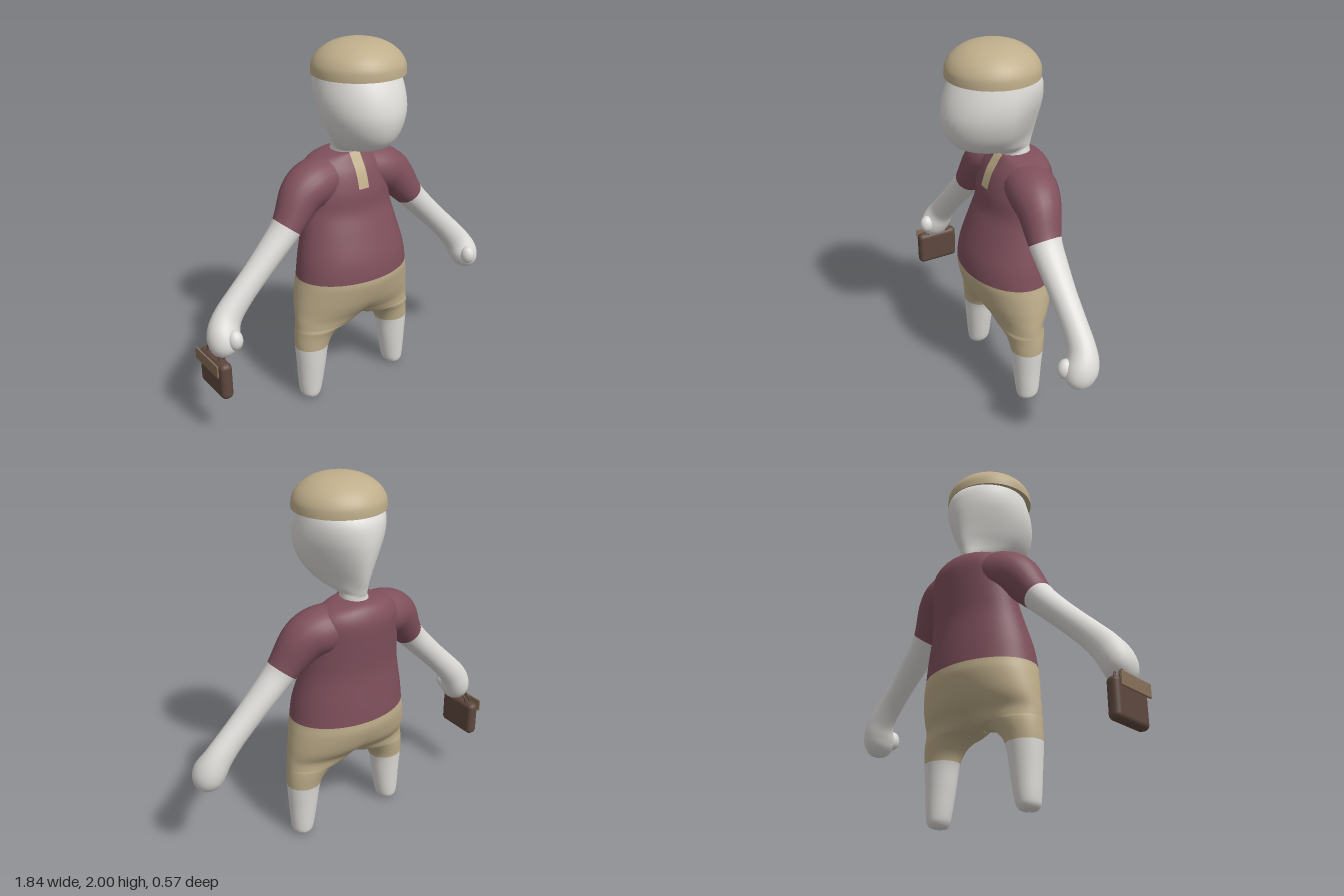
import * as THREE from 'three';
import { mergeVertices } from 'three/addons/utils/BufferGeometryUtils.js';
import { RoundedBoxGeometry } from 'three/addons/geometries/RoundedBoxGeometry.js';

const mat = (name, color, side = THREE.FrontSide) => {
  const m = new THREE.MeshStandardMaterial({ color, side });
  m.name = name;
  return m;
};

// Catmull-Rom sample of a table of rows at fractional row u
function sample(rows, u) {
  const i = Math.min(Math.floor(u), rows.length - 2), t = u - i;
  const at = k => rows[Math.max(0, Math.min(rows.length - 1, k))];
  const [a, b, c, d] = [at(i - 1), at(i), at(i + 1), at(i + 2)];
  return b.map((_, k) => b[k] + 0.5 * t * (c[k] - a[k] +
    t * (2 * a[k] - 5 * b[k] + 4 * c[k] - d[k] + t * (3 * (b[k] - c[k]) + d[k] - a[k]))));
}

// Rings of points along a table, STEP rings per row
const STEP = 4;
function makeRings(rows, ringAt) {
  const rings = [];
  for (let i = 0; i <= (rows.length - 1) * STEP; i++) rings.push(ringAt(i / STEP));
  return rings;
}

// Smooth skin over sheets of rings; materialOf(row) picks the colour
function skinOver(sheets, materials, materialOf = () => 0) {
  const pos = [], lists = materials.map(() => []);
  for (const { rings, mirror } of sheets) {
    const n = rings[0].length, base = pos.length / 3;
    rings.flat().forEach(p => pos.push(mirror ? -p[0] : p[0], p[1], p[2]));
    for (let i = 0; i < rings.length - 1; i++) {
      const list = lists[materialOf(Math.floor(i / STEP))];
      for (let j = 0; j < n - 1; j++) {
        const a = base + i * n + j, b = a + n, c = a + 1, d = b + 1;
        list.push(...(mirror ? [a, c, b, b, c, d] : [a, b, c, b, d, c]));
      }
    }
  }
  let g = new THREE.BufferGeometry();
  g.setAttribute('position', new THREE.Float32BufferAttribute(pos, 3));
  g.setIndex(lists.flat());
  let start = 0;
  lists.forEach((l, k) => { g.addGroup(start, l.length, k); start += l.length; });
  g = mergeVertices(g);
  g.computeVertexNormals();
  return new THREE.Mesh(g, materials);
}

// Half body, sole to collar: y, outer x, inner x, front z, back z
const BODY = [
  [0, 0.30, 0.29, -0.035, -0.045], [0.004, 0.33, 0.262, 0, -0.08], [0.02, 0.35, 0.245, 0.015, -0.1],
  [0.06, 0.36, 0.23, 0.022, -0.11], [0.2, 0.368, 0.205, 0.035, -0.12], [0.33, 0.376, 0.182, 0.045, -0.132],
  [0.4, 0.375, 0.135, 0.055, -0.145], [0.44, 0.373, 0.07, 0.07, -0.155], [0.455, 0.372, 0, 0.075, -0.16],
  [0.5, 0.37, -0.11, 0.09, -0.175], [0.55, 0.365, -0.225, 0.12, -0.22], [0.6, 0.36, -0.3, 0.145, -0.25],
  [0.68, 0.348, -0.348, 0.172, -0.278], [0.74, 0.336, -0.336, 0.18, -0.28], [0.85, 0.32, -0.32, 0.165, -0.275],
  [1.0, 0.285, -0.285, 0.112, -0.265], [1.1, 0.268, -0.268, 0.075, -0.27], [1.2, 0.26, -0.26, 0.065, -0.28],
  [1.3, 0.25, -0.25, 0.035, -0.285], [1.36, 0.21, -0.21, 0, -0.265], [1.39, 0.14, -0.14, -0.02, -0.235],
  [1.4, 0.07, -0.07, -0.03, -0.2],
];
// Full ellipse for a leg, cut off at x = 0 where the halves join
function bodyRing(u) {
  const [y, outer, inner, zf, zb] = sample(BODY, u);
  const cx = Math.max(0, (outer + inner) / 2), rx = outer - cx;
  const tm = cx >= rx ? Math.PI : Math.acos(-cx / rx);
  return Array.from({ length: 33 }, (_, j) => {
    const t = (j / 16 - 1) * tm;
    return [cx + rx * Math.cos(t), y, (zf + zb) / 2 + (zf - zb) / 2 * Math.sin(t)];
  });
}

// Head with neck: y, half width, front z, back z, pinch of the back
const HEAD = [
  [1.36, 0.075, -0.03, -0.2, 0], [1.41, 0.066, -0.025, -0.195, 0], [1.43, 0.075, 0.06, -0.2, 0.1],
  [1.46, 0.115, 0.17, -0.208, 0.35], [1.5, 0.15, 0.235, -0.22, 0.45], [1.56, 0.19, 0.27, -0.233, 0.42],
  [1.64, 0.22, 0.285, -0.246, 0.3], [1.72, 0.23, 0.272, -0.25, 0.15], [1.8, 0.222, 0.24, -0.237, 0.04],
  [1.86, 0.2, 0.2, -0.19, 0], [1.92, 0.12, 0.12, -0.1, 0], [1.94, 0, 0.01, 0.01, 0],
];
function headRing(u) {
  const [y, w, zf, zb, pinch] = sample(HEAD, u);
  return Array.from({ length: 41 }, (_, j) => {
    const t = (j / 20 - 1) * Math.PI, s = Math.sin(t);
    return [w * Math.cos(t) * (1 - pinch * Math.max(0, -s)), y, (zf + zb) / 2 + (zf - zb) / 2 * s];
  });
}

// Arm, shoulder to fist: x, y, z, radius in the front plane, radius in z
const ARM = [
  [0.12, 1.27, -0.11, 0.115, 0.13], [0.22, 1.25, -0.1, 0.125, 0.135], [0.305, 1.2, -0.085, 0.115, 0.115],
  [0.405, 1.07, -0.06, 0.08, 0.088], [0.5, 0.97, -0.055, 0.071, 0.077], [0.6, 0.87, -0.052, 0.068, 0.068],
  [0.7, 0.77, -0.05, 0.07, 0.065], [0.78, 0.68, -0.045, 0.077, 0.07], [0.82, 0.61, -0.025, 0.084, 0.09],
  [0.838, 0.55, -0.015, 0.075, 0.085], [0.848, 0.505, -0.01, 0.045, 0.05], [0.85, 0.49, -0.01, 0, 0],
];
function armRing(u) {
  const [x, y, z, r, rz] = sample(ARM, u);
  const a = sample(ARM, Math.max(0, u - 0.5)), b = sample(ARM, Math.min(ARM.length - 1, u + 0.5));
  const len = Math.hypot(b[0] - a[0], b[1] - a[1]);
  const nx = (a[1] - b[1]) / len, ny = (b[0] - a[0]) / len;
  return Array.from({ length: 25 }, (_, j) => {
    const t = (j / 12 - 1) * Math.PI, c = r * Math.cos(t);
    return [x + nx * c, y + ny * c, z - rz * Math.sin(t)];
  });
}

export function createModel() {
  const group = new THREE.Group();
  const skin = mat('pale skin', 0xdedcd8);
  const shirt = mat('plum shirt', 0x7f505c);
  const tan = mat('tan cloth', 0xbfae8b);
  const tanTrim = mat('tan trim', 0xbfae8b, THREE.DoubleSide);
  const leather = mat('brown leather', 0x5e483f);
  const flapTan = mat('flap tan', 0x86705a);
  const add = (name, mesh, parent = group) => { mesh.name = name; parent.add(mesh); return mesh; };

  // Legs, shorts and shirt in one smooth skin
  const half = makeRings(BODY, bodyRing);
  add('body', skinOver([{ rings: half }, { rings: half, mirror: true }], [skin, tan, shirt],
    row => (row < 5 ? 0 : row < 13 ? 1 : 2)));

  add('head', skinOver([{ rings: makeRings(HEAD, headRing) }], [skin]));

  // Arms with short sleeves, and a thumb bump on each fist
  const arm = makeRings(ARM, armRing);
  for (const s of [1, -1]) {
    const side = s > 0 ? 'left' : 'right';
    add(side + 'Arm', skinOver([{ rings: arm, mirror: s < 0 }], [shirt, skin], row => (row < 3 ? 0 : 1)));
    const thumb = add(side + 'Thumb', new THREE.Mesh(new THREE.SphereGeometry(0.045, 20, 14), skin));
    thumb.scale.set(0.9, 1.2, 1);
    thumb.position.set(0.8 * s, 0.595, 0.052);
  }

  // Button strip lying on the chest
  const strip = new THREE.PlaneGeometry(0.064, 1, 2, 20);
  const p = strip.attributes.position;
  for (let i = 0; i < p.count; i++) {
    const row = sample(BODY, 17.2 + (p.getY(i) + 0.5) * 3.8);
    p.setXYZ(i, p.getX(i), row[0] + 0.002, row[3] + 0.006);
  }
  strip.computeVertexNormals();
  add('buttonStrip', new THREE.Mesh(strip, tanTrim));

  // Domed cap with a flat underside
  const dome = new THREE.SplineCurve([[0.24, 1.845], [0.234, 1.885], [0.205, 1.93], [0.15, 1.97], [0.08, 1.993], [0, 2]]
    .map(q => new THREE.Vector2(...q))).getPoints(24);
  const cap = add('cap', new THREE.Group());
  cap.position.z = 0.015;
  add('capDome', new THREE.Mesh(new THREE.LatheGeometry([new THREE.Vector2(0.24, 1.83), ...dome], 48), tan), cap);
  const under = add('capUnderside', new THREE.Mesh(new THREE.CircleGeometry(0.24, 48), tan), cap);
  under.rotation.x = Math.PI / 2;
  under.position.y = 1.83;

  // Small case hanging from the right hand
  const bag = add('bag', new THREE.Group());
  bag.position.set(-0.87, 0.385, -0.04);
  add('bagBody', new THREE.Mesh(new RoundedBoxGeometry(0.066, 0.205, 0.255, 4, 0.028), leather), bag);
  const flap = add('bagFlap', new THREE.Mesh(new RoundedBoxGeometry(0.01, 0.07, 0.235, 2, 0.004), flapTan), bag);
  flap.position.set(-0.049, 0.078, 0);
  const path = new THREE.CatmullRomCurve3([[0, 0.09, -0.065], [0.01, 0.135, -0.055], [0.015, 0.16, 0],
    [0.01, 0.135, 0.055], [0, 0.09, 0.065]].map(q => new THREE.Vector3(...q)));
  for (const x of [-0.015, 0.015]) {
    add('bagHandle', new THREE.Mesh(new THREE.TubeGeometry(path, 24, 0.006, 8), leather), bag).position.x = x;
  }
  return group;
}
